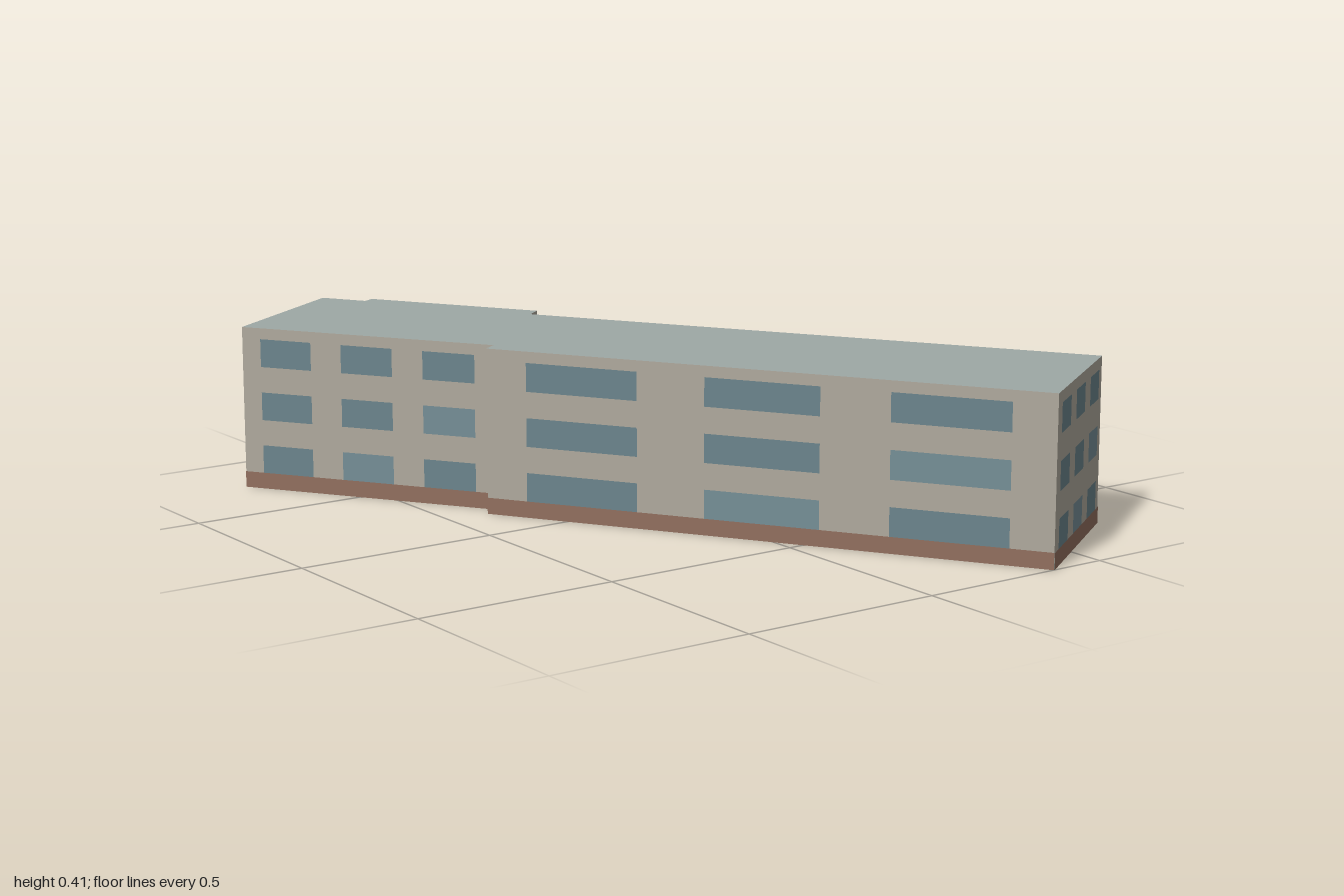
import * as THREE from 'three';

const HEIGHT = 0.405, BASE = 0.04, OFFSET = 0.0015;

// Footprint corners as [x, z], with the window columns on the wall that starts there
const footprint = [
  [-1.0, 0.368, 3], [-0.76, 0.732, 3], [-0.2, 0.355, 1], [-0.176, 0.392, 3], [1.0, -0.36, 3],
  [0.745, -0.735, 3], [-0.489, 0.059, 1], [-0.519, 0.02, 3], [-0.911, 0.273, 1], [-0.896, 0.302, 1],
];
const windowRows = [0.075, 0.209, 0.343];
const windowHeight = 0.07;

const material = (color, side = THREE.FrontSide) =>
  new THREE.MeshStandardMaterial({ color, side, roughness: 1 });

export function createModel() {
  const model = new THREE.Group();
  model.name = 'building';

  const wallMat = material(0xb0aa9e, THREE.DoubleSide);
  const roofMat = material(0x9ea8a5, THREE.DoubleSide);
  const baseMat = material(0x92705f);
  const glassMat = material(0x6c858d);
  const lightGlassMat = material(0x768f97);

  // Flat upright panel centred at (x, y) on a wall
  function panel(parent, name, mat, w, h, x, y, z) {
    const mesh = new THREE.Mesh(new THREE.PlaneGeometry(w, h), mat);
    mesh.name = name;
    mesh.position.set(x, y, z);
    parent.add(mesh);
  }

  // One facade per footprint edge, local z pointing outward
  footprint.forEach(([x, z, columns], i) => {
    const [nx, nz] = footprint[(i + 1) % footprint.length];
    const length = Math.hypot(nx - x, nz - z);
    const facade = new THREE.Group();
    facade.name = 'facade' + (i + 1);
    facade.position.set(x, 0, z);
    facade.rotation.y = Math.atan2(z - nz, nx - x);

    panel(facade, 'wall', wallMat, length, HEIGHT, length / 2, HEIGHT / 2, 0);
    panel(facade, 'basePlinth', baseMat, length, BASE, length / 2, BASE / 2, OFFSET);

    const width = length * (columns === 1 ? 0.48 : 0.203);
    windowRows.forEach((y, row) => {
      for (let c = 0; c < columns; c++) {
        const u = 0.5 + (c - (columns - 1) / 2) * 0.324;
        const light = (row === 0 && c === 1) || (row === 1 && c === 2);
        panel(facade, 'window', light ? lightGlassMat : glassMat,
          width, windowHeight, length * u, y, OFFSET);
      }
    });
    model.add(facade);
  });

  // Flat roof over the footprint; the underside is open
  const outline = new THREE.Shape(footprint.map(([x, z]) => new THREE.Vector2(x, -z)));
  const roof = new THREE.Mesh(new THREE.ShapeGeometry(outline), roofMat);
  roof.name = 'roof';
  roof.rotation.x = -Math.PI / 2;
  roof.position.y = HEIGHT;
  model.add(roof);

  return model;
}
